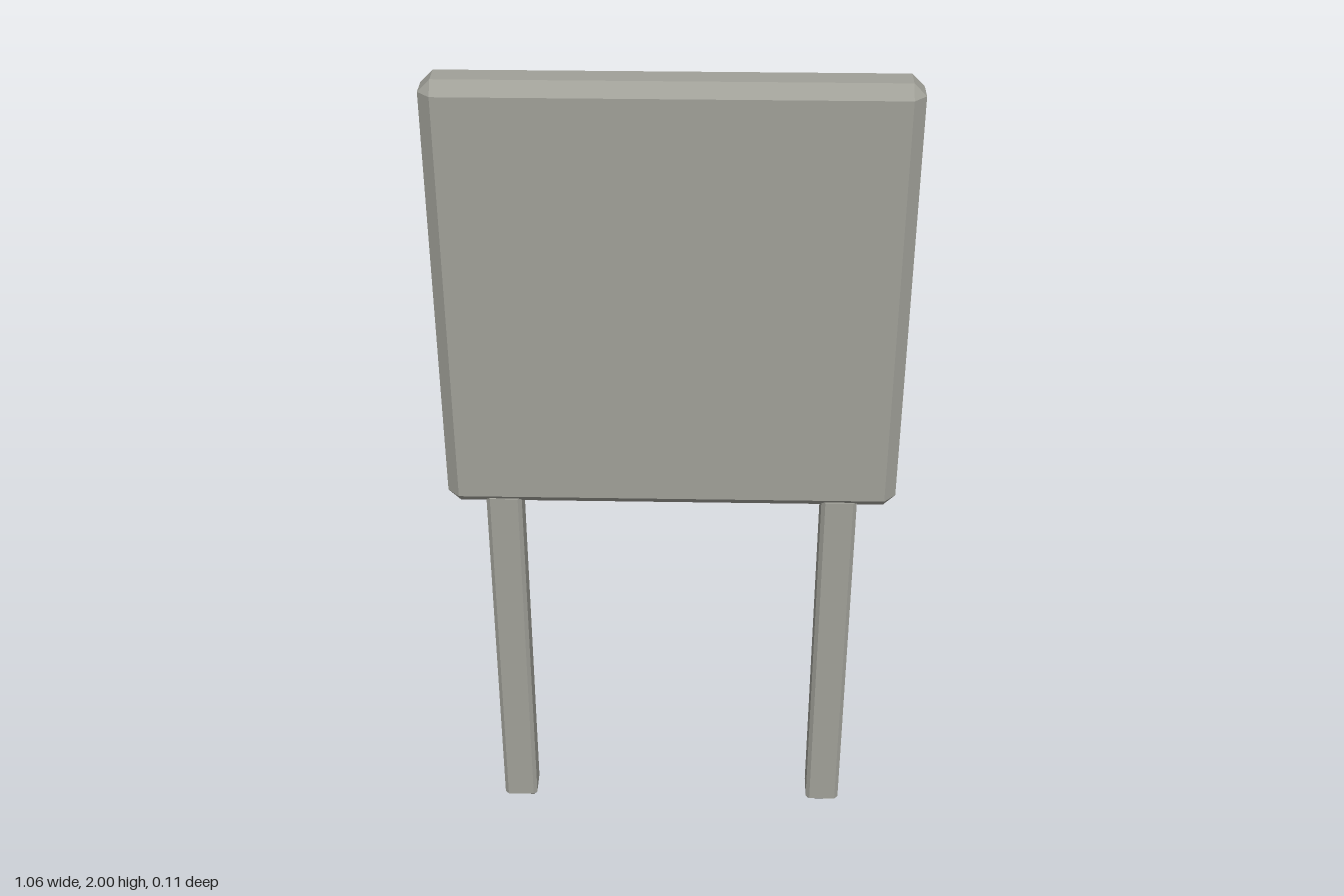
import * as THREE from 'three';
import { ConvexGeometry } from 'three/addons/geometries/ConvexGeometry.js';

// Box with 45 degree chamfers on all edges and clipped corners
function chamferBox(width, height, depth, bevel) {
  const half = [width / 2, height / 2, depth / 2];
  const points = [];
  for (const sx of [-1, 1]) for (const sy of [-1, 1]) for (const sz of [-1, 1]) {
    for (let axis = 0; axis < 3; axis++) {
      const [x, y, z] = half.map((h, i) => (i === axis ? h : h - bevel));
      points.push(new THREE.Vector3(sx * x, sy * y, sz * z));
    }
  }
  return new ConvexGeometry(points);
}

export function createModel() {
  const group = new THREE.Group();
  group.name = 'signBoard';
  const grey = new THREE.MeshStandardMaterial({ color: 0xa0a098 });
  grey.name = 'warm grey';

  // Square panel
  const panel = new THREE.Mesh(chamferBox(1.06, 1.056, 0.11, 0.028), grey);
  panel.name = 'panel';
  panel.position.y = 2 - 1.056 / 2;
  group.add(panel);

  // Two posts, their tops set into the panel
  const postHeight = 0.965;
  const postGeometry = chamferBox(0.084, postHeight, 0.084, 0.009);
  for (const side of [-1, 1]) {
    const post = new THREE.Mesh(postGeometry, grey);
    post.name = side > 0 ? 'leftPost' : 'rightPost';
    post.position.set(side * 0.398, postHeight / 2, 0);
    group.add(post);
  }
  return group;
}
